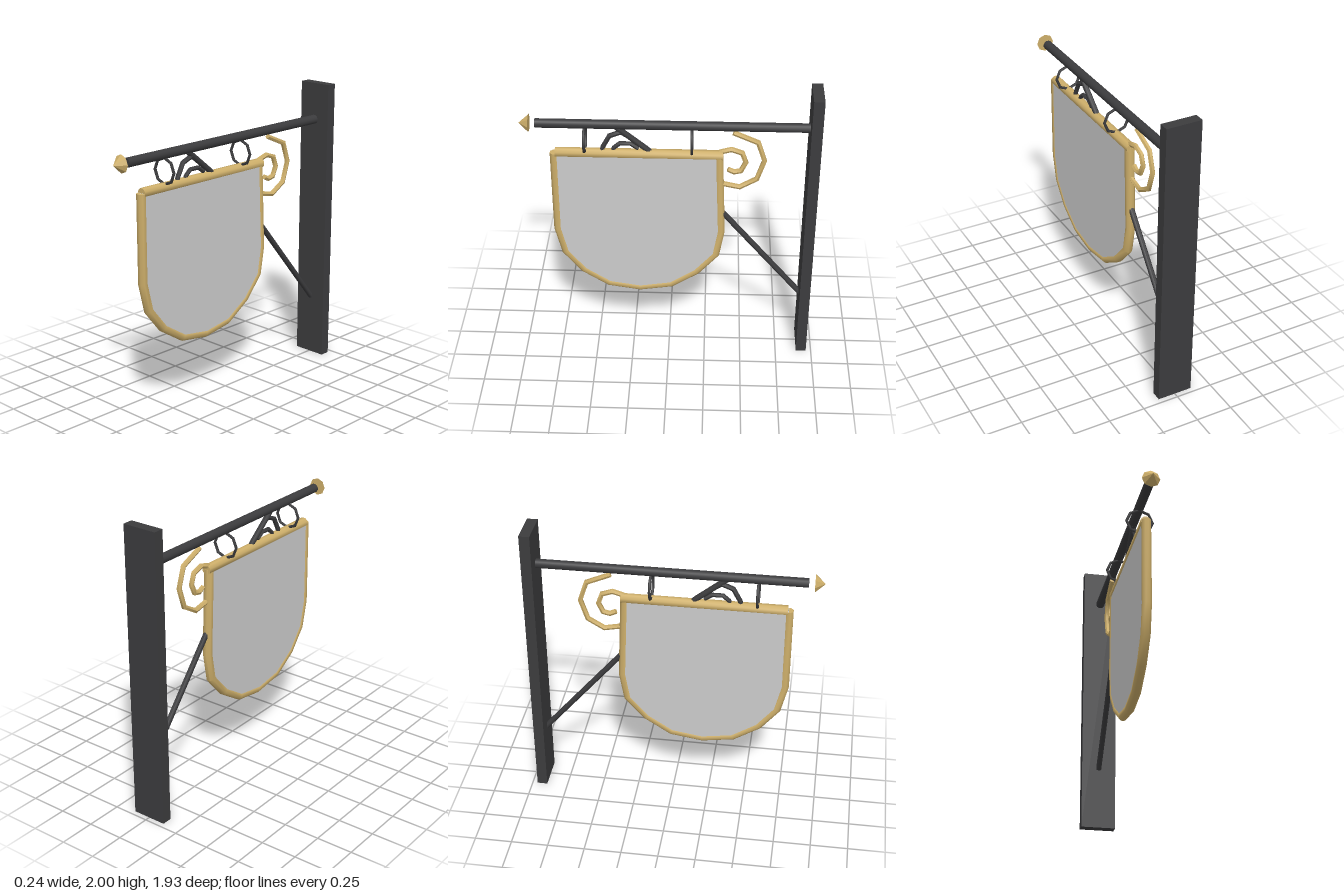
import * as THREE from 'three';
import { toCreasedNormals } from 'three/addons/utils/BufferGeometryUtils.js';

const iron = new THREE.MeshStandardMaterial({ color: 0x3c3c3e });
const gold = new THREE.MeshStandardMaterial({ color: 0xcfb06b });
const grey = new THREE.MeshStandardMaterial({ color: 0xcccccc });

// Mitred round rod along a polyline of [z, y] points in the plane x = 0
function rod(points, radius, sides = 8) {
  const pts = points.map(([z, y]) => new THREE.Vector2(z, y));
  const last = pts.length - 1;
  const pos = [], index = [];
  pts.forEach((p, i) => {
    const before = pts[i].clone().sub(pts[Math.max(i - 1, 0)]).normalize();
    const after = pts[Math.min(i + 1, last)].clone().sub(p).normalize();
    const t = before.clone().add(after).normalize();
    const mitre = radius / t.dot(i < last ? after : before);
    for (let j = 0; j < sides; j++) {
      const a = ((j + 0.5) / sides) * Math.PI * 2;
      const off = Math.cos(a) * mitre;
      pos.push(Math.sin(a) * radius, p.y + t.x * off, p.x - t.y * off);
    }
  });
  const start = pos.length / 3;
  pos.push(0, pts[0].y, pts[0].x, 0, pts[last].y, pts[last].x);
  for (let j = 0; j < sides; j++) {
    const k = (j + 1) % sides;
    for (let i = 0; i < last; i++) {
      const a = i * sides, b = a + sides;
      index.push(a + j, b + j, a + k, a + k, b + j, b + k);
    }
    index.push(start, j, k, start + 1, last * sides + k, last * sides + j);
  }
  const geo = new THREE.BufferGeometry();
  geo.setAttribute('position', new THREE.Float32BufferAttribute(pos, 3));
  geo.setIndex(index);
  return toCreasedNormals(geo, 0.9);
}

export function createModel() {
  const group = new THREE.Group();
  const add = (name, geo, material) => {
    const mesh = new THREE.Mesh(geo, material);
    mesh.name = name;
    group.add(mesh);
    return mesh;
  };

  // Wall plate and horizontal arm with its pointed finial
  add('wallPlate', new THREE.BoxGeometry(0.24, 2, 0.07), iron).position.set(0, 1, -0.93);
  add('arm', rod([[-0.9, 1.745], [0.86, 1.745]], 0.031, 12), iron);
  const cone = new THREE.ConeGeometry(0.06, 0.065, 8).toNonIndexed();
  cone.computeVertexNormals();
  cone.rotateX(Math.PI / 2);
  add('finial', cone, gold).position.set(0, 1.745, 0.932);

  // Bent brace passing behind the sign from arm to wall
  add('brace', rod([[0.34, 1.725], [0.15, 1.57], [-0.35, 1.09], [-0.9, 0.43]], 0.019), iron);

  // Rings that hang the sign from the arm
  for (const z of [0.545, -0.145]) {
    add('hangingRing', new THREE.TorusGeometry(0.086, 0.01, 6, 8), iron).position.set(0, 1.635, z);
  }

  // Shield-shaped board
  const outline = [
    [0.745, 1.53], [0.745, 0.94], [0.7, 0.75], [0.58, 0.6], [0.41, 0.49], [0.2, 0.457],
    [-0.01, 0.49], [-0.18, 0.6], [-0.31, 0.75], [-0.342, 0.94], [-0.318, 1.53],
  ];
  const shape = new THREE.Shape(outline.map(([z, y]) => new THREE.Vector2(z, y)));
  const board = new THREE.ExtrudeGeometry(shape, { depth: 0.052, bevelEnabled: false });
  board.translate(0, 0, -0.026);
  board.rotateY(-Math.PI / 2);
  add('board', board, grey);

  // Gilded frame around the board
  add('frame', rod(outline, 0.032), gold);
  add('frameTop', rod([[0.74, 1.53], [-0.345, 1.53]], 0.034), gold);

  // Spiral scrolls: gilded one towards the wall, iron one above the board
  add('wallScroll', rod([
    [-0.41, 1.7], [-0.57, 1.63], [-0.615, 1.495], [-0.57, 1.355], [-0.46, 1.29],
    [-0.34, 1.315], [-0.28, 1.4], [-0.28, 1.5], [-0.33, 1.555], [-0.4, 1.575],
    [-0.47, 1.55], [-0.495, 1.48], [-0.465, 1.415], [-0.42, 1.405], [-0.38, 1.425],
  ], 0.017, 6), gold);
  add('topScroll', rod([
    [0.2, 1.57], [0.25, 1.605], [0.32, 1.605], [0.36, 1.57], [0.37, 1.54],
  ], 0.014, 6), iron);
  add('topScrollOuter', rod([
    [0.44, 1.54], [0.43, 1.575], [0.385, 1.66], [0.31, 1.69], [0.25, 1.65],
  ], 0.016, 6), iron);

  return group;
}
